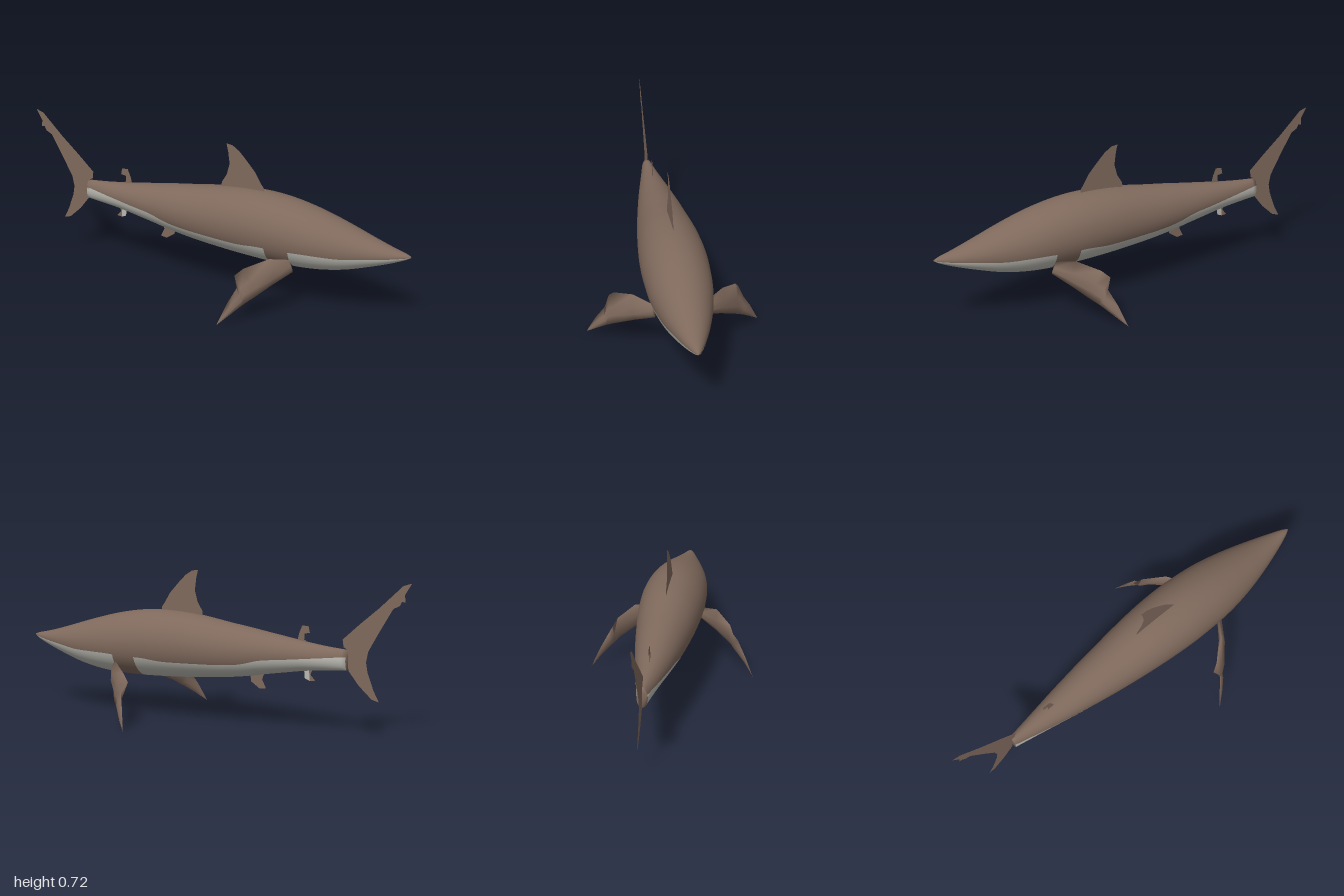
import * as THREE from 'three';

const brown = new THREE.MeshStandardMaterial({ name: 'brown hide', color: 0x7f695c, side: THREE.DoubleSide });
const pale = new THREE.MeshStandardMaterial({ name: 'pale belly', color: 0xb9b8b0, side: THREE.DoubleSide });

// Joins closed rings of points; isPale(ring, side) picks the second material.
function loft(rings, isPale = () => false) {
  const n = rings[0].length, lists = [[], []];
  for (let i = 0; i < rings.length - 1; i++) {
    for (let j = 0; j < n; j++) {
      const a = i * n + j, b = i * n + (j + 1) % n;
      lists[isPale(i, j) ? 1 : 0].push(a, b, a + n, b, b + n, a + n);
    }
  }
  const last = (rings.length - 1) * n;
  for (let j = 1; j < n - 1; j++) {
    lists[0].push(0, j + 1, j, last, last + j, last + j + 1);
  }
  const g = new THREE.BufferGeometry();
  g.setAttribute('position', new THREE.Float32BufferAttribute(rings.flat(2), 3));
  g.setIndex(lists.flat());
  g.addGroup(0, lists[0].length, 0);
  g.addGroup(lists[0].length, lists[1].length, 1);
  g.computeVertexNormals();
  return g;
}

// x, back height, belly height, half width, colour line height
const stations = [
  [-0.7, 0.4, 0.305, 0.025, 0.37], [-0.6, 0.408, 0.297, 0.043, 0.36], [-0.5, 0.42, 0.287, 0.061, 0.35],
  [-0.4, 0.435, 0.271, 0.079, 0.34], [-0.3, 0.45, 0.254, 0.095, 0.33], [-0.2, 0.466, 0.236, 0.11, 0.305],
  [-0.1, 0.48, 0.222, 0.123, 0.295], [0, 0.496, 0.212, 0.135, 0.292], [0.1, 0.51, 0.204, 0.145, 0.29],
  [0.2, 0.516, 0.198, 0.152, 0.29], [0.3, 0.515, 0.194, 0.155, 0.3], [0.4, 0.505, 0.192, 0.152, 0.3],
  [0.5, 0.486, 0.195, 0.145, 0.305], [0.6, 0.46, 0.205, 0.13, 0.305], [0.7, 0.43, 0.225, 0.108, 0.305],
  [0.8, 0.398, 0.256, 0.08, 0.315], [0.9, 0.369, 0.291, 0.047, 0.325], [0.97, 0.353, 0.32, 0.02, 0.334],
  [1, 0.343, 0.337, 0.003, 0.339],
];

function makeBody() {
  const curve = (a, b) => new THREE.CatmullRomCurve3(
    stations.map(s => new THREE.Vector3(s[0], s[a], s[b])), false, 'catmullrom');
  const heights = curve(1, 2), sides = curve(3, 4);
  const upper = 26, lower = 18, steps = (stations.length - 1) * 5, rings = [];
  for (let i = 0; i <= steps; i++) {
    const h = heights.getPoint(i / steps), s = sides.getPoint(i / steps);
    const cy = (h.y + h.z) / 2, ry = (h.y - h.z) / 2;
    const line = Math.asin(THREE.MathUtils.clamp((s.z - cy) / ry, -0.95, 0.95));
    const ring = [];
    for (let j = 0; j < upper + lower; j++) {
      const a = j < upper
        ? line + (Math.PI - 2 * line) * j / upper
        : Math.PI - line + (Math.PI + 2 * line) * (j - upper) / lower;
      ring.push([h.x, cy + ry * Math.sin(a), s.y * Math.cos(a)]);
    }
    rings.push(ring);
  }
  // The brown saddle between the pectoral fins interrupts the pale belly
  const isPale = (i, j) => {
    const x = rings[i][0][0];
    return j >= upper && (x < 0.33 || x > 0.455);
  };
  const body = new THREE.Mesh(loft(rings, isPale), [brown, pale]);
  body.name = 'body';
  return body;
}

// Upright sheet fins, outlined in x and y
const sheetFins = {
  dorsalFin: [[0.04, 0.49], [0.045, 0.525], [0.07, 0.565], [0.085, 0.62], [0.077, 0.68], [0.068, 0.717],
    [0.1, 0.713], [0.135, 0.69], [0.17, 0.655], [0.22, 0.6], [0.25, 0.55], [0.265, 0.53], [0.265, 0.49]],
  tailFin: [[-1, 0.718], [-0.96, 0.705], [-0.85, 0.6], [-0.757, 0.52], [-0.675, 0.445], [-0.68, 0.41],
    [-0.7, 0.4], [-0.705, 0.305], [-0.757, 0.24], [-0.82, 0.183], [-0.855, 0.174], [-0.828, 0.225],
    [-0.798, 0.305], [-0.79, 0.35], [-0.8, 0.4], [-0.85, 0.49], [-0.915, 0.6], [-0.945, 0.615],
    [-0.955, 0.635], [-0.972, 0.632], [-0.968, 0.665]],
  secondDorsalFin: [[-0.52, 0.41], [-0.485, 0.43], [-0.487, 0.458], [-0.513, 0.462], [-0.507, 0.492],
    [-0.475, 0.495], [-0.46, 0.46], [-0.45, 0.42]],
  analFin: [[-0.285, 0.26], [-0.272, 0.225], [-0.292, 0.185], [-0.26, 0.18], [-0.215, 0.21], [-0.21, 0.25]],
  rearVentralFin: [[-0.53, 0.3], [-0.518, 0.27], [-0.542, 0.243], [-0.515, 0.24], [-0.51, 0.3]],
};

function makeSheet(name, points, material) {
  const shape = new THREE.Shape(points.map(p => new THREE.Vector2(...p)));
  const fin = new THREE.Mesh(new THREE.ShapeGeometry(shape), material);
  fin.name = name;
  return fin;
}

// Leading and trailing edge points of the pectoral fin, root to tip, with half thickness
const pectoralSections = [
  [[0.475, 0.2, 0.113], [0.46, 0.262, 0.125], 0.012],
  [[0.42, 0.16, 0.2], [0.4, 0.283, 0.205], 0.016],
  [[0.365, 0.115, 0.28], [0.31, 0.245, 0.28], 0.013],
  [[0.34, 0.095, 0.303], [0.275, 0.212, 0.3], 0.01],
  [[0.325, 0.082, 0.32], [0.3, 0.165, 0.323], 0.008],
  [[0.29, 0.048, 0.36], [0.27, 0.095, 0.362], 0.005],
  [[0.242, 0.004, 0.404], [0.24, 0, 0.405], 0.001],
];

function makePectoral(name, side) {
  const span = new THREE.Vector3(-0.23, -0.2, 0.29);
  const rings = pectoralSections.map(([lead, trail, half]) => {
    const a = new THREE.Vector3(...lead), b = new THREE.Vector3(...trail);
    const out = b.clone().sub(a).cross(span).normalize();
    const ring = [[0, 0], [0.25, 0.9], [0.55, 0.8], [1, 0], [0.55, -0.8], [0.25, -0.9]].map(([t, k]) => {
      const p = a.clone().lerp(b, t).addScaledVector(out, half * k);
      return [p.x, p.y, p.z * side];
    });
    return side > 0 ? ring : ring.reverse();
  });
  const fin = new THREE.Mesh(loft(rings), [brown, pale]);
  fin.name = name;
  return fin;
}

export function createModel() {
  const model = new THREE.Group();
  model.name = 'shark';
  model.add(makeBody());
  for (const [name, points] of Object.entries(sheetFins)) model.add(makeSheet(name, points, brown));
  // Pale front part of the rear ventral fin
  model.add(makeSheet('rearVentralFinFront', [[-0.51, 0.3], [-0.515, 0.24], [-0.49, 0.25], [-0.485, 0.3]], pale));
  // The swimmer faces +x, so its two pectoral fins lie on either side in z
  model.add(makePectoral('pectoralFinNear', 1), makePectoral('pectoralFinFar', -1));
  return model;
}
